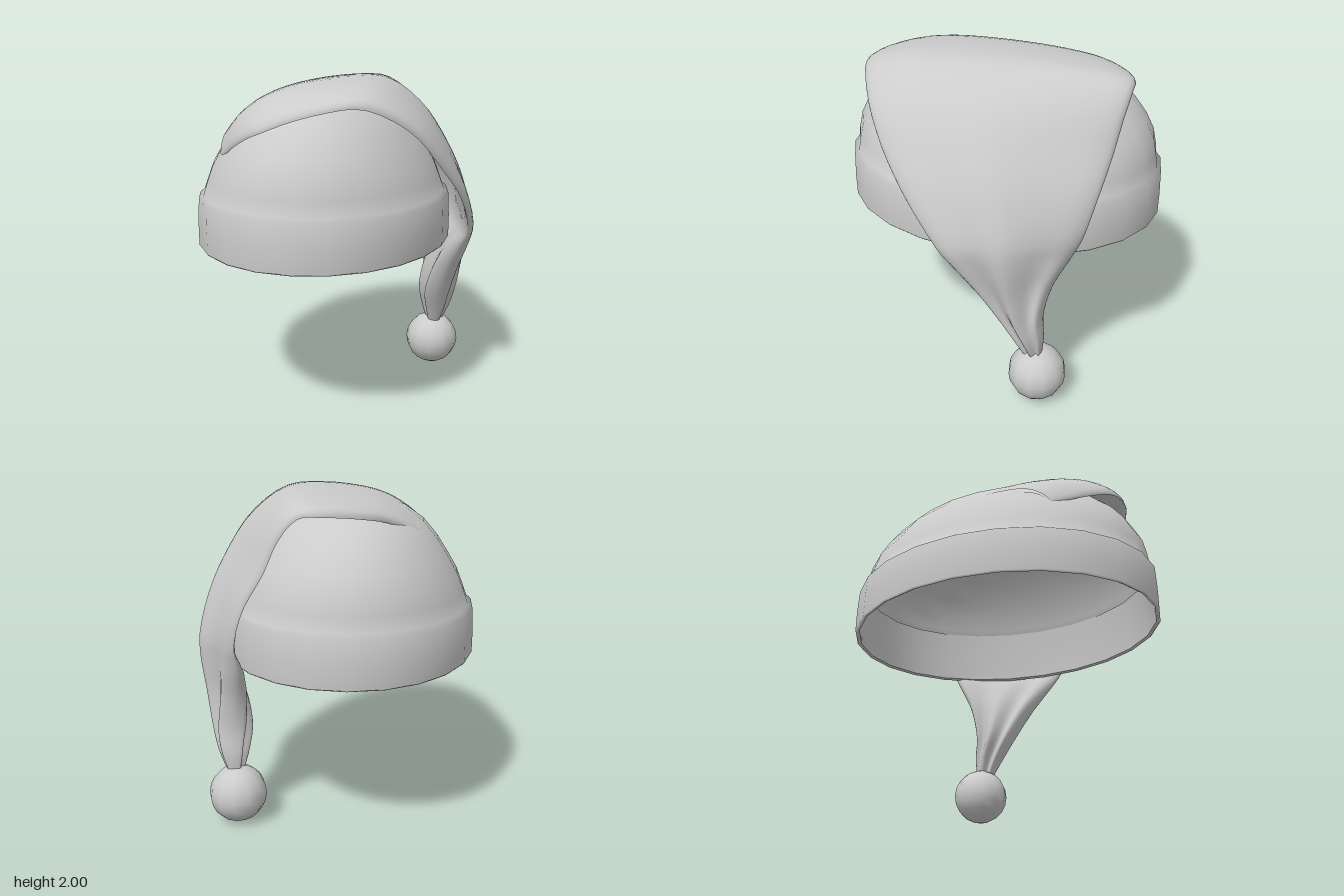
import * as THREE from 'three';

const material = new THREE.MeshStandardMaterial({ color: 0xcccccc, side: THREE.DoubleSide });
const CENTER_X = -0.085;
const { smoothstep, lerp } = THREE.MathUtils;

// Skin a list of closed rings, each with the same number of points.
function loft(rings) {
  const n = rings[0].length, index = [];
  for (let r = 0; r < rings.length - 1; r++) {
    for (let i = 0; i < n; i++) {
      const a = r * n + i, b = r * n + (i + 1) % n;
      index.push(a, a + n, b, b, a + n, b + n);
    }
  }
  const geometry = new THREE.BufferGeometry();
  geometry.setAttribute('position', new THREE.Float32BufferAttribute(rings.flat(2), 3));
  geometry.setIndex(index);
  geometry.computeVertexNormals();
  return geometry;
}

// Horizontal oval ring
function oval([y, rx, rz], sides = 24) {
  return Array.from({ length: sides }, (_, i) => {
    const a = (i / sides) * Math.PI * 2;
    return [CENTER_X + rx * Math.cos(a), y, rz * Math.sin(a)];
  });
}

function addPart(group, name, geometry) {
  const mesh = new THREE.Mesh(geometry, material);
  mesh.name = name;
  group.add(mesh);
  return mesh;
}

// Sections of the folded cloth: outer x, y, inner x, y, front z, back z
const drapeSections = [
  [-0.62, 1.70, -0.56, 1.62, 0.50, -0.28],
  [-0.50, 1.82, -0.42, 1.68, 0.68, -0.42],
  [-0.36, 1.91, -0.28, 1.74, 0.79, -0.53],
  [-0.20, 1.965, -0.15, 1.76, 0.82, -0.66],
  [0.08, 2.0, 0.05, 1.78, 0.80, -0.80],
  [0.30, 1.98, 0.20, 1.78, 0.73, -0.81],
  [0.50, 1.83, 0.38, 1.68, 0.60, -0.79],
  [0.64, 1.62, 0.51, 1.49, 0.45, -0.76],
  [0.74, 1.40, 0.63, 1.32, 0.28, -0.72],
  [0.80, 1.15, 0.68, 1.10, 0.09, -0.66],
  [0.80, 1.00, 0.61, 0.98, 0.01, -0.60],
  [0.77, 0.80, 0.53, 0.80, -0.11, -0.51],
  [0.74, 0.61, 0.49, 0.59, -0.22, -0.47],
  [0.70, 0.45, 0.51, 0.44, -0.31, -0.48],
  [0.65, 0.33, 0.54, 0.33, -0.37, -0.47],
];

function drapeGeometry() {
  const curve = (k) => new THREE.CatmullRomCurve3(
    drapeSections.map((s) => new THREE.Vector3(s[k], s[k + 1], 0)));
  const outer = curve(0), inner = curve(2), edges = curve(4);
  const steps = 45, sides = 48, rings = [];
  for (let r = 0; r <= steps; r++) {
    const t = r / steps;
    const o = outer.getPoint(t), i = inner.getPoint(t), e = edges.getPoint(t);
    const pleat = 0.4 * smoothstep(t, 0.4, 0.8);
    // Thin over the crown, a full tube in the tail
    const underside = lerp(0.5, -1, smoothstep(t, 0.52, 0.7));
    const twist = smoothstep(t, 0.25, 0.5) * (1 - smoothstep(t, 0.65, 0.9));
    const droop = 0.03 + 0.08 * (1 - smoothstep(t, 0.15, 0.35));
    rings.push(Array.from({ length: sides }, (_, k) => {
      const a = (k / sides) * Math.PI * 2, s = Math.sin(a), c = Math.cos(a);
      // Flattened tube with pleats gathering toward the tip
      const depth = (s < 0 ? underside : 1) * Math.abs(s) ** 0.75
        * (1 - pleat * (0.5 + 0.5 * Math.cos(6 * a)));
      const mix = 0.5 + 0.5 * depth;
      return [
        lerp(i.x, o.x, mix) + twist * c * (c > 0 ? 0.07 : 0.2),
        lerp(i.y, o.y, mix) - droop * Math.max(0, c) ** 4,
        (e.x + e.y) / 2 + ((e.x - e.y) / 2) * c,
      ];
    }));
  }
  return loft(rings);
}

export function createModel() {
  const group = new THREE.Group();
  group.name = 'hat';

  // Turned-up band running smoothly into the full crown
  const shell = [
    [1.03, 0.745, 0.955], [1.02, 0.76, 0.97], [1.03, 0.77, 0.98], [1.16, 0.77, 0.98],
    [1.30, 0.762, 0.974], [1.32, 0.735, 0.947], [1.40, 0.705, 0.937], [1.50, 0.665, 0.915],
    [1.60, 0.605, 0.865], [1.70, 0.54, 0.79], [1.80, 0.455, 0.69], [1.88, 0.34, 0.54],
    [1.93, 0.20, 0.33], [1.95, 0.001, 0.001],
  ].map((ring) => oval(ring));
  addPart(group, 'bandAndCrown', loft(shell));

  // Lining behind the band
  const lining = [[1.03, 0.745, 0.955], [1.18, 0.735, 0.945], [1.36, 0.71, 0.925]];
  addPart(group, 'lining', loft(lining.map((ring) => oval(ring))));

  // Cloth folded over the crown and tapering into the hanging tail
  addPart(group, 'foldedTail', drapeGeometry());

  // Ball at the tip of the tail
  const pompom = addPart(group, 'pompom', new THREE.SphereGeometry(0.175, 12, 10));
  pompom.position.set(0.58, 0.178, -0.44);

  return group;
}
